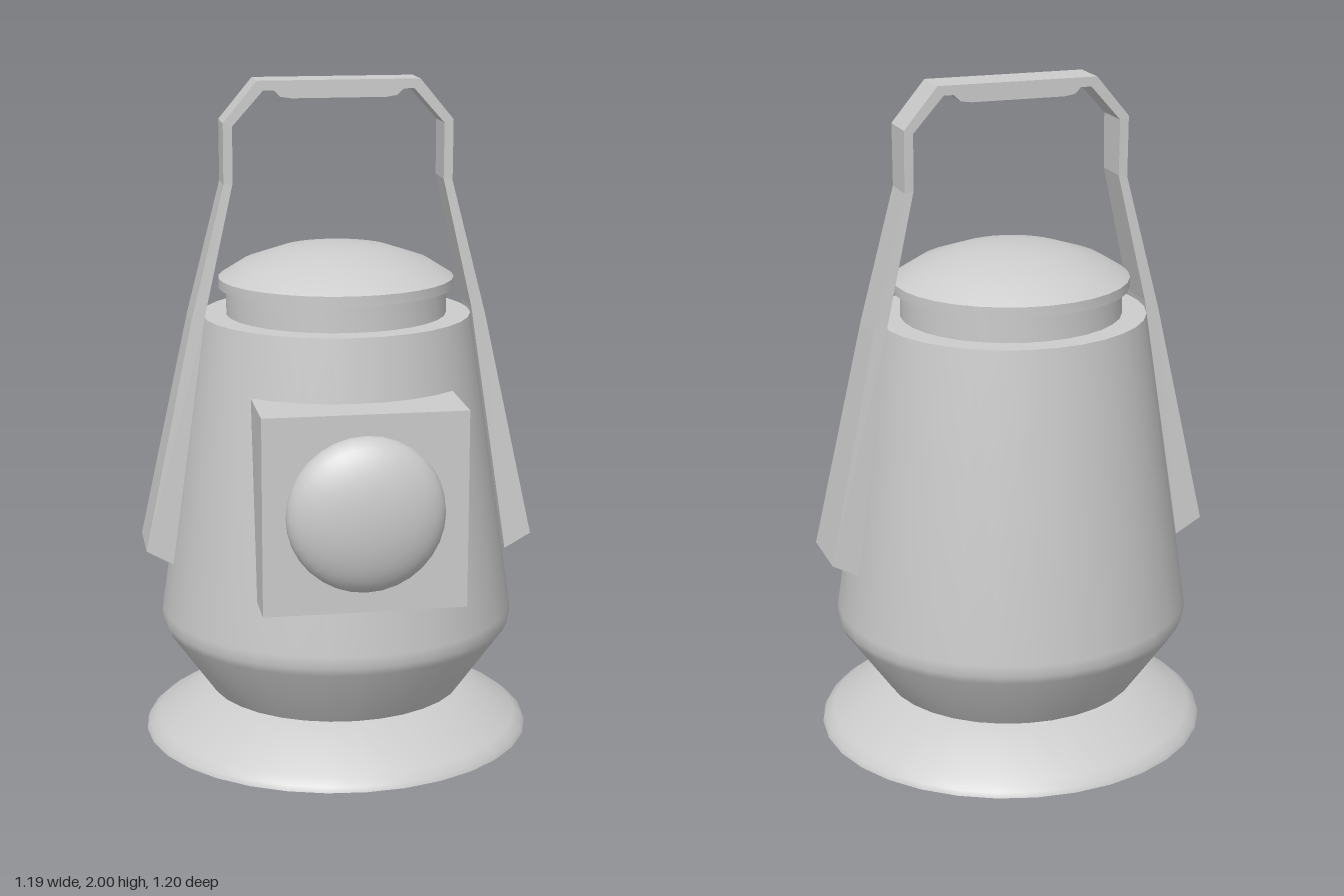
import * as THREE from 'three';
import { toCreasedNormals } from 'three/addons/utils/BufferGeometryUtils.js';

const AXIS_Z = -0.032; // centre line of the round parts
const ROUND_DEPTH = 0.96; // round parts are slightly shallower than wide
const material = new THREE.MeshStandardMaterial({ color: 0xcccccc });

function mesh(name, geometry) {
  const m = new THREE.Mesh(geometry, material);
  m.name = name;
  return m;
}

// Round part from [radius, height] pairs listed from bottom to top
function turned(name, profile) {
  const points = profile.map(([r, y]) => new THREE.Vector2(r, y));
  const geometry = new THREE.LatheGeometry(points, 32);
  geometry.scale(1, 1, ROUND_DEPTH);
  const m = mesh(name, toCreasedNormals(geometry, 0.7));
  m.position.z = AXIS_Z;
  return m;
}

// Rectangular strap swept through stations [outerX, outerY, innerX, innerY, halfDepth]
function strap(stations) {
  const positions = [];
  const index = [];
  for (const [ox, oy, ix, iy, h] of stations) {
    positions.push(ox, oy, h, ox, oy, -h, ix, iy, -h, ix, iy, h);
  }
  for (let s = 0; s < stations.length - 1; s++) {
    for (let k = 0; k < 4; k++) {
      const a = s * 4 + k;
      const b = s * 4 + ((k + 1) % 4);
      index.push(a, b, b + 4, a, b + 4, a + 4);
    }
  }
  const e = (stations.length - 1) * 4;
  index.push(0, 3, 2, 0, 2, 1, e, e + 1, e + 2, e, e + 2, e + 3);
  const indexed = new THREE.BufferGeometry();
  indexed.setAttribute('position', new THREE.Float32BufferAttribute(positions, 3));
  indexed.setIndex(index);
  const geometry = indexed.toNonIndexed();
  geometry.computeVertexNormals();
  return geometry;
}

export function createModel() {
  const model = new THREE.Group();
  model.name = 'lantern';

  // Flared foot
  model.add(turned('base', [[0, 0], [0.593, 0], [0.587, 0.015], [0.56, 0.037], [0.389, 0.14], [0, 0.14]]));

  // Tapered body with a rounded shoulder near the bottom
  model.add(turned('body', [
    [0, 0.14], [0.389, 0.14], [0.527, 0.335], [0.538, 0.36], [0.537, 0.395], [0.403, 1.305], [0, 1.305],
  ]));

  // Neck and domed lid
  model.add(turned('collar', [[0.33, 1.3], [0.33, 1.39]]));
  model.add(turned('lid', [
    [0, 1.385], [0.352, 1.385], [0.352, 1.415], [0.28, 1.46], [0.165, 1.499], [0.08, 1.511], [0, 1.514],
  ]));

  // Square lamp housing sunk into the body
  const housing = mesh('lensHousing', new THREE.BoxGeometry(0.59, 0.58, 0.335));
  housing.position.set(0, 0.83, 0.3375);
  model.add(housing);

  // Bulging lens on the housing
  const lensGeometry = new THREE.SphereGeometry(0.229, 32, 10, 0, Math.PI * 2, 0, Math.PI / 2);
  lensGeometry.rotateX(Math.PI / 2);
  lensGeometry.scale(1, 1, 0.096 / 0.229);
  const lens = mesh('lens', lensGeometry);
  lens.position.set(0, 0.83, 0.505);
  model.add(lens);

  // Carrying handle: one arm, mirrored across the top
  const arm = [
    [0.59, 0.61, 0.51, 0.565, 0.098],
    [0.442, 1.3, 0.4, 1.32, 0.07],
    [0.34, 1.7, 0.313, 1.705, 0.058],
    [0.34, 1.88, 0.313, 1.87, 0.062],
    [0.24, 2.0, 0.222, 1.972, 0.062],
  ];
  const otherArm = arm.map(([ox, oy, ix, iy, h]) => [-ox, oy, -ix, iy, h]).reverse();
  const handle = mesh('handle', strap([...arm, ...otherArm]));
  handle.position.z = AXIS_Z;
  model.add(handle);

  // Grip pad under the top of the handle
  const pad = new THREE.Shape();
  pad.moveTo(-0.19, 1.98);
  for (const [x, y] of [[-0.19, 1.97], [-0.172, 1.953], [-0.14, 1.948], [0.14, 1.948], [0.172, 1.953], [0.19, 1.97], [0.19, 1.98]]) {
    pad.lineTo(x, y);
  }
  const grip = mesh('grip', new THREE.ExtrudeGeometry(pad, { depth: 0.12, bevelEnabled: false }));
  grip.position.z = AXIS_Z - 0.06;
  model.add(grip);

  return model;
}
